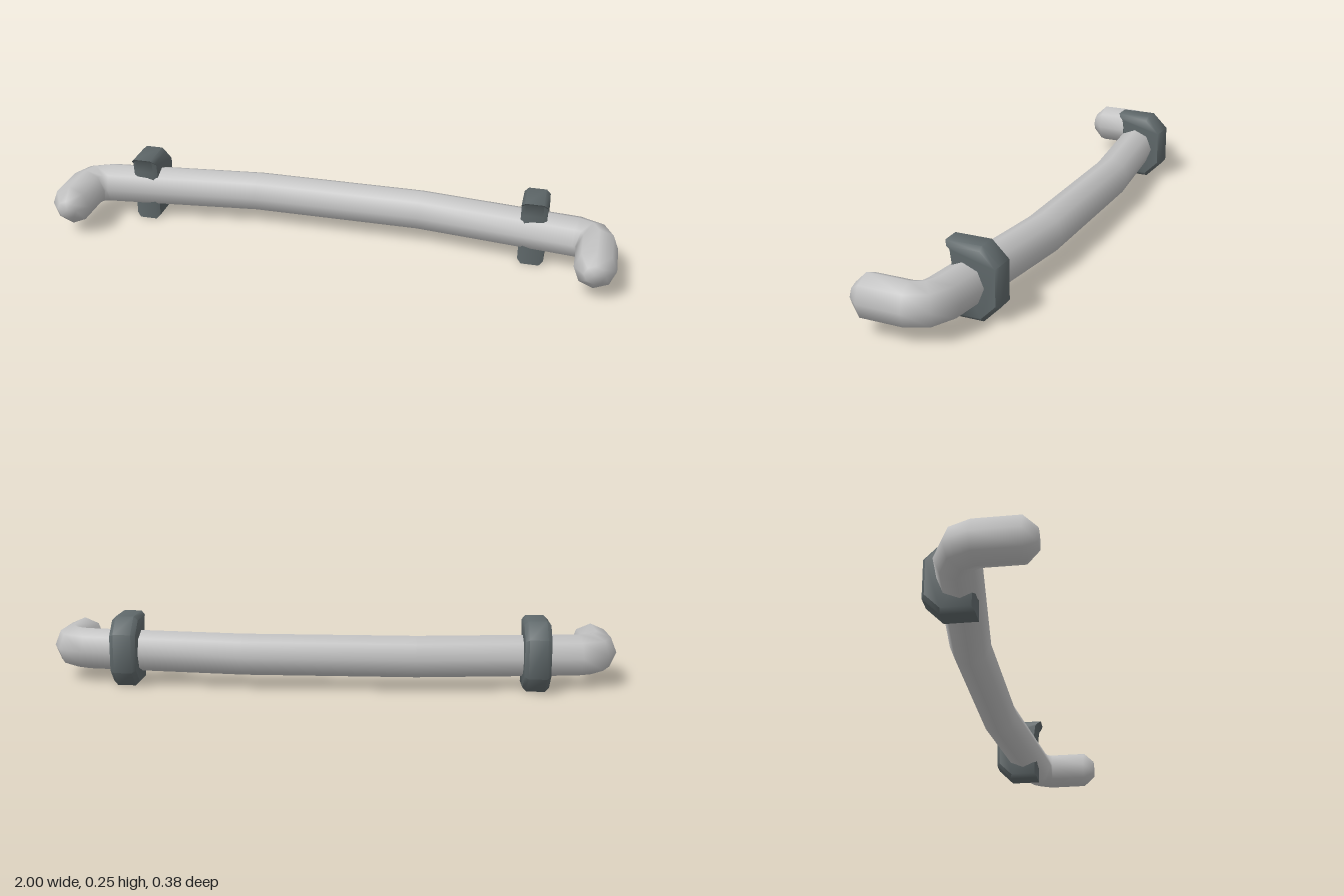
import * as THREE from 'three';
import { toCreasedNormals } from 'three/addons/utils/BufferGeometryUtils.js';

const MID_Y = 0.115;
const SIDES = 8;

// Cross-sections of one half of the bar: outer x, z, inner x, z, half height
const HALF = [
  [0.965, 0.19, 0.895, 0.19, 0.034],
  [1.0, 0.15, 0.86, 0.15, 0.073],
  [1.0, 0.0, 0.86, 0.02, 0.073],
  [0.962, -0.082, 0.856, 0.013, 0.073],
  [0.87, -0.127, 0.848, 0.014, 0.073],
  [0.3, -0.19, 0.3, -0.05, 0.073],
];

function createBarGeometry() {
  const mirrored = HALF.map(([ox, oz, ix, iz, h]) => [-ox, oz, -ix, iz, h]).reverse();
  const sections = [...HALF, ...mirrored];
  const pos = [];
  const index = [];
  sections.forEach(([ox, oz, ix, iz, h], i) => {
    for (let j = 0; j < SIDES; j++) {
      const a = (j / SIDES) * Math.PI * 2;
      const k = (1 + Math.cos(a)) / 2;
      pos.push(ix + (ox - ix) * k, MID_Y + h * Math.sin(a), iz + (oz - iz) * k);
      if (i === sections.length - 1) continue;
      const p = i * SIDES + j;
      const q = i * SIDES + ((j + 1) % SIDES);
      index.push(p, p + SIDES, q, p + SIDES, q + SIDES, q);
    }
  });
  // end caps
  const last = (sections.length - 1) * SIDES;
  const c = sections.length * SIDES;
  pos.push(0.93, MID_Y, 0.19, -0.93, MID_Y, 0.19);
  for (let j = 0; j < SIDES; j++) {
    const n = (j + 1) % SIDES;
    index.push(c, j, n, c + 1, last + n, last + j);
  }
  const g = new THREE.BufferGeometry();
  g.setAttribute('position', new THREE.Float32BufferAttribute(pos, 3));
  g.setIndex(index);
  g.computeVertexNormals();
  return g;
}

// Clamp profile (depth towards the back, height) swept across its width,
// with the two side faces drawn in to chamfer the edges
function createClampGeometry() {
  const shape = new THREE.Shape([
    [0.023, 0], [0.13, 0], [0.186, 0.056], [0.186, 0.19],
    [0.13, 0.245], [0.006, 0.245], [0.018, 0.234], [0.024, 0.19],
  ].map(([u, v]) => new THREE.Vector2(u, v)));
  const g = new THREE.ExtrudeGeometry(shape, { depth: 3, steps: 3, bevelEnabled: false });
  const p = g.attributes.position;
  const width = [-0.045, -0.031, 0.031, 0.045];
  for (let i = 0; i < p.count; i++) {
    const step = Math.round(p.getZ(i));
    const s = step === 0 || step === 3 ? 0.89 : 1;
    p.setXYZ(i, 0.1 + (p.getX(i) - 0.1) * s, 0.1225 + (p.getY(i) - 0.1225) * s, width[step]);
  }
  g.rotateY(Math.PI / 2);
  return toCreasedNormals(g, 0.85);
}

export function createModel() {
  const metal = new THREE.MeshStandardMaterial({ color: 0xc2c2c2 });
  metal.name = 'light metal';
  const dark = new THREE.MeshStandardMaterial({ color: 0x5f686a });
  dark.name = 'dark grey';

  const model = new THREE.Group();
  model.name = 'curvedBar';

  const bar = new THREE.Mesh(createBarGeometry(), metal);
  bar.name = 'bar';
  model.add(bar);

  const clampGeometry = createClampGeometry();
  for (const [name, side] of [['leftClamp', 1], ['rightClamp', -1]]) {
    const clamp = new THREE.Mesh(clampGeometry, dark);
    clamp.name = name;
    clamp.position.x = side * 0.71;
    model.add(clamp);
  }
  return model;
}
